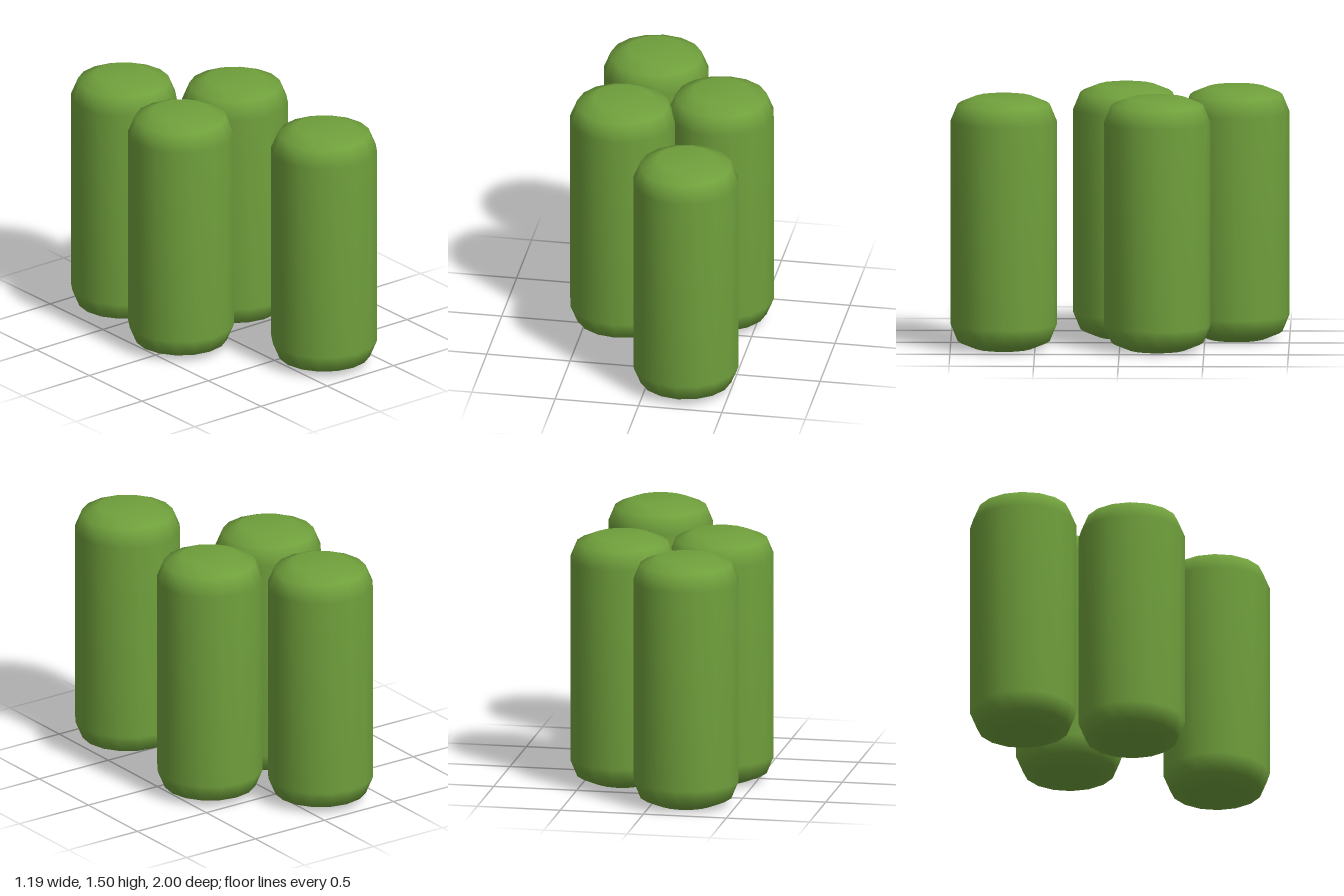
import * as THREE from 'three';

export function createModel() {
  const group = new THREE.Group();
  group.name = 'roundedColumns';
  const green = new THREE.MeshStandardMaterial({ color: 0x70a03c });
  green.name = 'leaf green';

  const radius = 0.315, height = 1.5, bevel = 0.145, sides = 16;

  // Profile from bottom centre to top centre, with two-step rounded rims
  const profile = [new THREE.Vector2(0, 0)];
  const rim = (centreY, from) => {
    for (let i = 0; i <= 2; i++) {
      const a = from + (i * Math.PI) / 4;
      profile.push(new THREE.Vector2(radius - bevel + bevel * Math.cos(a), centreY + bevel * Math.sin(a)));
    }
  };
  rim(bevel, -Math.PI / 2);
  rim(height - bevel, 0);
  profile.push(new THREE.Vector2(0, height));
  const geometry = new THREE.LatheGeometry(profile, sides);

  // Four identical columns, placed by x and z
  const places = {
    backColumn: [-0.195, -0.685],
    leftColumn: [0.278, -0.223],
    rightColumn: [-0.28, -0.035],
    frontColumn: [0.228, 0.685],
  };
  for (const [name, [x, z]] of Object.entries(places)) {
    const column = new THREE.Mesh(geometry, green);
    column.name = name;
    column.position.set(x, 0, z);
    group.add(column);
  }
  return group;
}
